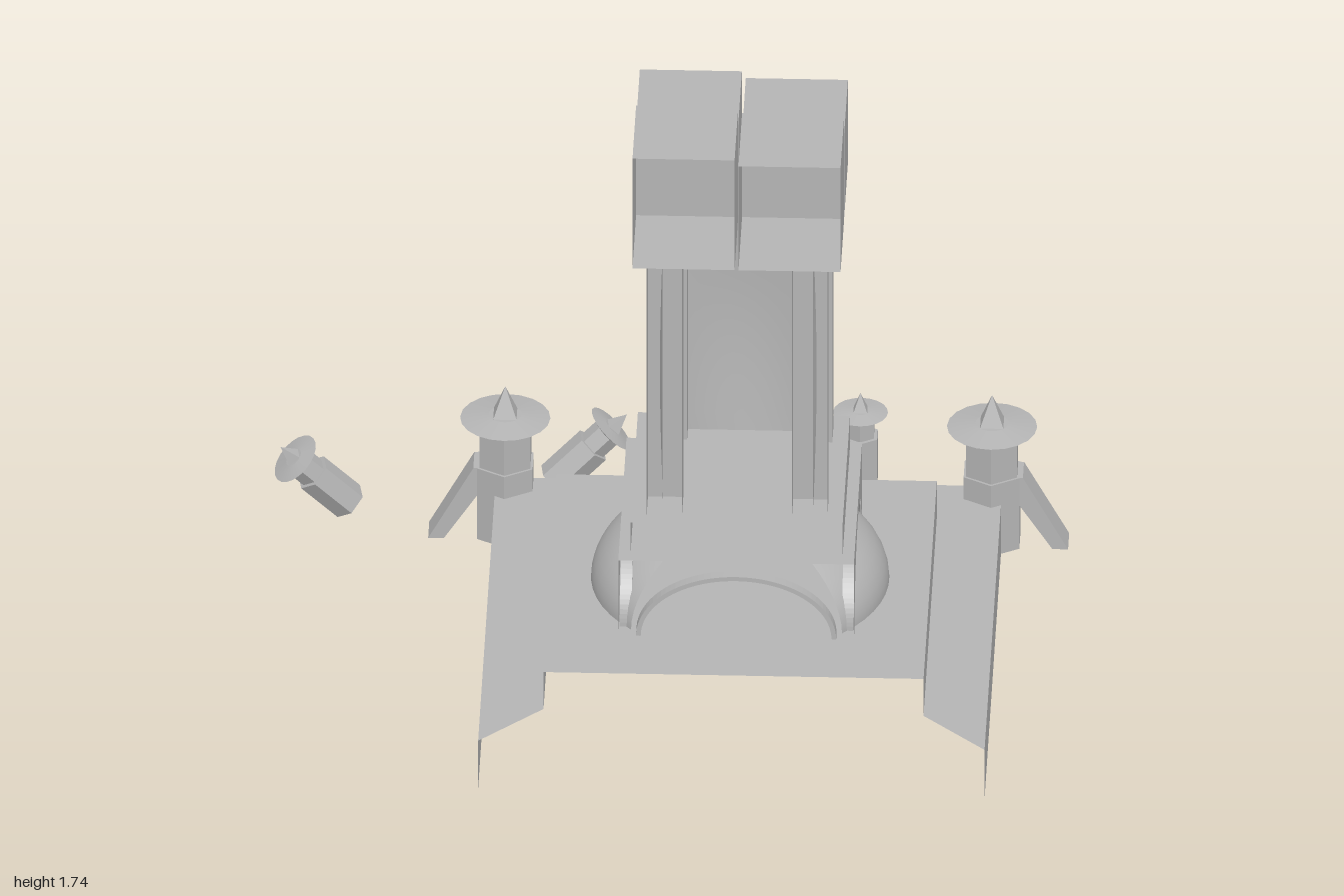
import * as THREE from 'three';

const stone = new THREE.MeshStandardMaterial({ color: 0xb4b4b4, side: THREE.DoubleSide });
stone.name = 'grey stone';

function add(parent, name, geometry, x = 0, y = 0, z = 0) {
  const mesh = new THREE.Mesh(geometry, stone);
  mesh.name = name;
  mesh.position.set(x, y, z);
  parent.add(mesh);
  return mesh;
}

// Box without the listed faces (0 +x, 1 -x, 2 +y, 3 -y, 4 +z, 5 -z)
function shell(w, h, d, drop = []) {
  const g = new THREE.BoxGeometry(w, h, d);
  const index = Array.from(g.index.array).filter((_, i) => !drop.includes(Math.floor(i / 6)));
  g.setIndex(index);
  g.clearGroups();
  return g;
}

function polygon(points) {
  return new THREE.Shape(points.map(([x, y]) => new THREE.Vector2(x, y)));
}

// Faceted post with a flared disc roof and a four-sided spike
function turret(name, rLow, hLow, rUp, hUp, rHat, rSpike, hSpike) {
  const g = new THREE.Group();
  g.name = name;
  const prism = (r0, r1, h, n) => new THREE.CylinderGeometry(r1, r0, h, n).toNonIndexed();
  const facet = (geo) => { geo.computeVertexNormals(); return geo; };
  add(g, 'post', facet(prism(rLow, rLow, hLow, 6)), 0, hLow / 2);
  add(g, 'neck', facet(prism(rUp, rUp, hUp, 6)), 0, hLow + hUp / 2);
  const top = hLow + hUp, t = rHat * 0.16;
  add(g, 'eaves', new THREE.CylinderGeometry(rHat, rUp, t, 20), 0, top + t / 2);
  add(g, 'roof', new THREE.CylinderGeometry(rSpike, rHat, t * 0.6, 20), 0, top + t * 1.3);
  const spike = add(g, 'spike', facet(prism(rSpike, 0, hSpike, 4)), 0, top + t * 1.6 + hSpike / 2);
  spike.rotation.y = Math.PI / 4;
  return g;
}
const smallTurret = (name) => turret(name, 0.05, 0.14, 0.04, 0.055, 0.07, 0.025, 0.05);

export function createModel() {
  const root = new THREE.Group();
  root.name = 'ruinedTower';
  const ruin = new THREE.Group();
  ruin.name = 'tower';
  ruin.position.set(0.11, 0, 0.2);
  ruin.rotation.y = -0.124;
  root.add(ruin);

  // Lower tier: three walls and a mitred walkway, open at the front
  const A = 0.645, B = 0.484;
  add(ruin, 'lowerTierWalls', shell(2 * A, 0.145, 2 * A, [2, 3, 4]), 0, 0.1625);
  const walk = new THREE.ShapeGeometry(polygon([[-A, -A], [-A, A], [A, A], [A, -A], [B, -B], [B, B], [-B, B], [-B, -B]]));
  walk.rotateX(-Math.PI / 2);
  add(ruin, 'lowerTierWalkway', walk, 0, 0.235);
  add(ruin, 'upperTier', shell(2 * B, 0.11, 2 * B, [3, 4]), 0, 0.29);

  // Vaulted storey: arched walls on three sides, arch rings on four
  const W = 0.3, H = 0.225, rx = 0.255, ry = 0.18;
  const wall = new THREE.Shape();
  wall.moveTo(-W, 0);
  wall.lineTo(-rx, 0);
  wall.absellipse(0, 0, rx, ry, Math.PI, 0, true);
  wall.lineTo(W, 0);
  wall.lineTo(W, H);
  wall.lineTo(-W, H);
  const wallGeo = new THREE.ShapeGeometry(wall, 24);
  const ring = new THREE.Shape();
  ring.absellipse(0, 0, rx, ry, 0, Math.PI, false);
  ring.absellipse(0, 0, rx - 0.012, ry - 0.012, Math.PI, 0, true);
  const ringGeo = new THREE.ExtrudeGeometry(ring, { depth: 0.03, bevelEnabled: false, curveSegments: 24 });
  wallGeo.translate(0, 0, W);
  ringGeo.translate(0, 0, W - 0.032);
  for (let i = 0; i < 4; i++) {
    const a = (i * Math.PI) / 2;
    if (i > 0) add(ruin, 'archWall', wallGeo, 0, 0.345).rotation.y = a;
    add(ruin, 'archRing', ringGeo, 0, 0.345).rotation.y = a;
  }
  add(ruin, 'vaultTop', shell(2 * W, 0.004, 2 * W, [0, 1, 3, 4, 5]), 0, 0.568);

  // Squashed dome showing through the arches, broken away at the front
  const dome = new THREE.SphereGeometry(0.38, 40, 14, Math.PI * 0.75, Math.PI * 1.5, 0, Math.PI / 2);
  dome.scale(1, 0.59, 1);
  add(ruin, 'dome', dome, 0, 0.345);
  add(ruin, 'shoulder', shell(0.54, 0.095, 0.54, [3, 4]), 0, 0.6175);

  // Shaft: corner columns and gently swelling panels
  const y0 = 0.665, y1 = 1.42, hs = y1 - y0;
  for (const x of [-1, 1]) for (const z of [-1, 1]) {
    add(ruin, 'column', shell(0.09, hs, 0.09, z > 0 ? [4] : []), x * 0.185, (y0 + y1) / 2, z * 0.185);
  }
  const panel = new THREE.PlaneGeometry(0.34, hs, 12, 16);
  const p = panel.attributes.position;
  for (let i = 0; i < p.count; i++) {
    const u = p.getX(i) / 0.17, v = p.getY(i) / (hs / 2);
    p.setZ(i, 0.192 + 0.028 * Math.cos(u * Math.PI / 2) * Math.cos(v * Math.PI / 2));
  }
  panel.computeVertexNormals();
  for (let i = 1; i < 4; i++) add(ruin, 'panel', panel, 0, (y0 + y1) / 2).rotation.y = (i * Math.PI) / 2;

  // Four crown blocks of uneven height, the front pair hollow
  for (const [x, z, top] of [[-1, 1, 1.747], [1, 1, 1.73], [1, -1, 1.67], [-1, -1, 1.69]]) {
    add(ruin, 'crownBlock', shell(0.26, top - 1.42, 0.26, z > 0 ? [4] : []), x * 0.135, (top + 1.42) / 2, z * 0.135);
  }

  // Rear stair between sloping side walls
  const rail = new THREE.ExtrudeGeometry(
    polygon([[0.484, 0.09], [1.113, 0.09], [1.113, 0.14], [1.06, 0.14], [0.484, 0.35]]),
    { depth: 0.055, bevelEnabled: false });
  rail.rotateY(Math.PI / 2);
  for (const x of [-0.205, 0.15]) add(ruin, 'stairWall', rail, x);
  const steps = 6, run = 0.105;
  for (let i = 0; i < steps; i++) {
    const top = 0.3 - i * 0.035;
    add(ruin, 'step', new THREE.BoxGeometry(0.3, 0.037, run), 0, top - 0.0185, -0.484 - (i + 0.5) * run);
  }

  // Corner turrets with sloping buttresses
  const leg = new THREE.ExtrudeGeometry(
    polygon([[0.05, 0.3], [0.08, 0.3], [0.195, 0.09], [0.155, 0.09], [0.05, 0.25]]),
    { depth: 0.08, bevelEnabled: false });
  leg.translate(0, -0.09, -0.04);
  for (const s of [-1, 1]) {
    const t = turret('cornerTurret', 0.082, 0.21, 0.075, 0.11, 0.115, 0.042, 0.082);
    t.position.set(s * 0.62, 0.09, -0.62);
    add(t, 'sideButtress', leg).rotation.y = s > 0 ? 0 : Math.PI;
    add(t, 'rearButtress', leg).rotation.y = Math.PI / 2;
    ruin.add(t);
  }

  // Small stair turret still standing, and two fallen ones
  const standing = smallTurret('stairTurret');
  standing.position.set(0.273, 0.05, -0.96);
  ruin.add(standing);
  for (const [x, y, z, ax, ay, az] of [[-0.805, 0.04, -0.755, -0.13, 0.14, 0.025], [-0.275, 0.04, -0.81, 0.14, 0.14, 0]]) {
    const t = smallTurret('fallenTurret');
    t.position.set(x, y, z);
    t.quaternion.setFromUnitVectors(new THREE.Vector3(0, 1, 0), new THREE.Vector3(ax, ay, az).normalize());
    root.add(t);
  }
  return root;
}
